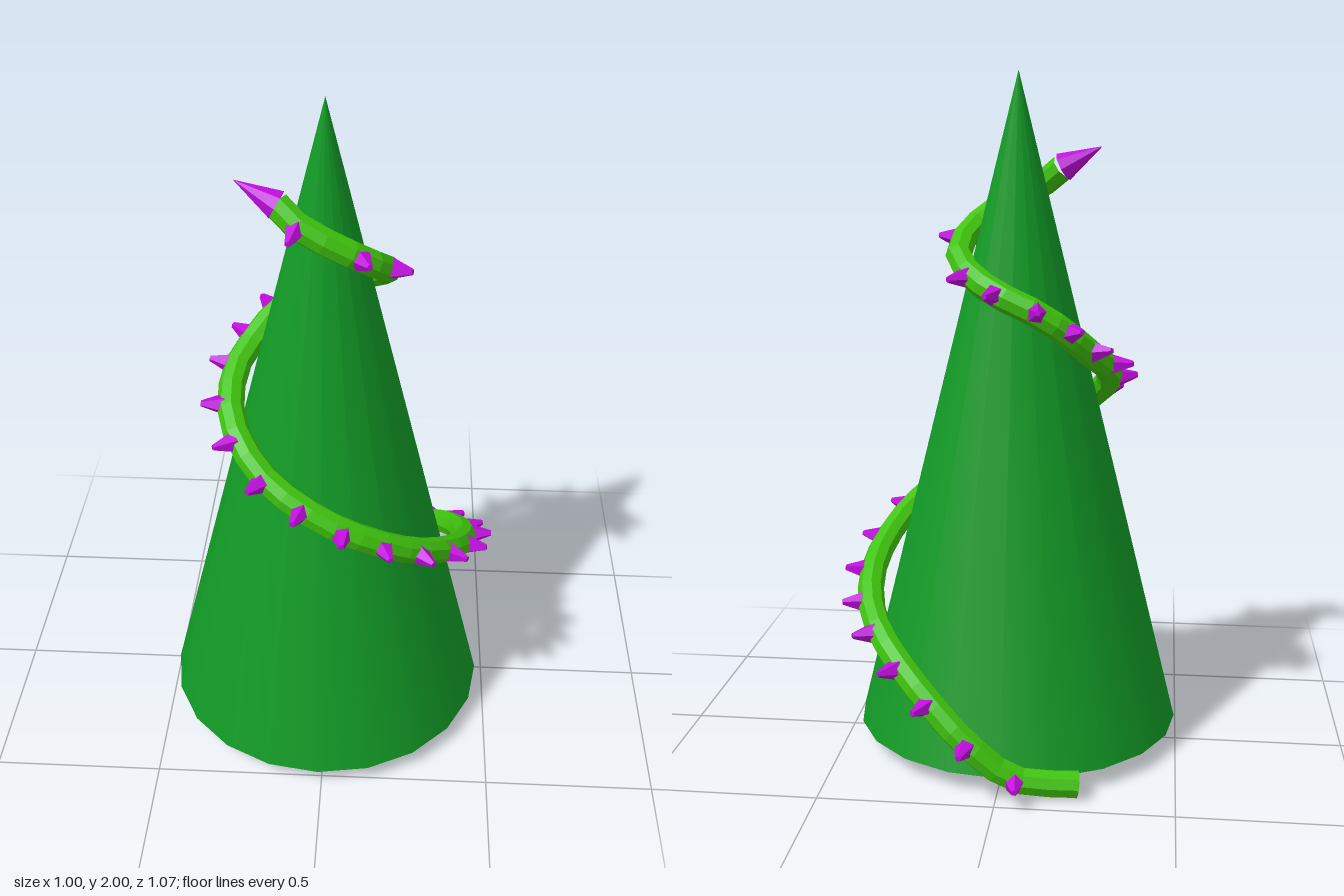
import * as THREE from 'three';

const UP = new THREE.Vector3(0, 1, 0);
const material = (name, color, flatShading = false) => {
  const m = new THREE.MeshStandardMaterial({ color, flatShading });
  m.name = name;
  return m;
};

function addMesh(parent, name, geometry, mat) {
  const mesh = new THREE.Mesh(geometry, mat);
  mesh.name = name;
  parent.add(mesh);
  return mesh;
}

// Points a y-axis part along dir
function aim(mesh, position, dir) {
  mesh.position.copy(position);
  mesh.quaternion.setFromUnitVectors(UP, dir.clone().normalize());
}

// Vine centre line; each of these points carries a thorn
const THORN_POINTS = [
  [-0.05, 0.06, -0.44], [0.08, 0.16, -0.45], [0.19, 0.26, -0.41], [0.28, 0.34, -0.35], [0.36, 0.41, -0.26],
  [0.405, 0.465, -0.16], [0.42, 0.525, -0.05], [0.4, 0.59, 0.08], [0.345, 0.66, 0.2], [0.26, 0.725, 0.29],
  [0.16, 0.79, 0.345], [0.05, 0.85, 0.365], [-0.06, 0.91, 0.35], [-0.165, 0.97, 0.3], [-0.245, 1.045, 0.22],
  [-0.28, 1.1, 0.12], [-0.27, 1.16, 0], [-0.225, 1.21, -0.075], [-0.165, 1.27, -0.125], [-0.08, 1.33, -0.155],
  [0.03, 1.38, -0.14], [0.11, 1.425, -0.085], [0.15, 1.52, 0.06], [0.08, 1.59, 0.14], [-0.08, 1.68, 0.145],
].map((p) => new THREE.Vector3(...p));

export function createModel() {
  const model = new THREE.Group();
  model.name = 'thornyVineCone';
  const coneGreen = material('cone green', 0x129a26);
  const vineGreen = material('vine green', 0x40c40e, true);
  const thornPurple = material('thorn purple', 0xc00cdc, true);

  // Tall cone body
  const cone = addMesh(model, 'cone', new THREE.ConeGeometry(0.485, 1.945, 20), coneGreen);
  cone.position.set(-0.01, 0.055 + 1.945 / 2, 0.05);

  // Spiral vine
  const vine = new THREE.Group();
  vine.name = 'vine';
  model.add(vine);
  const start = new THREE.Vector3(-0.225, 0.04, -0.415);
  const end = new THREE.Vector3(-0.135, 1.725, 0.115);
  const points = [start, ...THORN_POINTS, end];
  points.splice(23, 0, new THREE.Vector3(0.155, 1.47, -0.02));
  const path = new THREE.CatmullRomCurve3(points);
  const radius = 0.039;
  addMesh(vine, 'vineStem', new THREE.TubeGeometry(path, 44, radius, 8), vineGreen);

  // Cap on the lower end
  const cap = addMesh(vine, 'vineEndCap', new THREE.CylinderGeometry(radius, radius, 0.004, 8), vineGreen);
  aim(cap, start, path.getTangentAt(0));

  // Pointed tip on the upper end
  const tipEnd = new THREE.Vector3(-0.25, 1.785, 0.095);
  const tipDir = tipEnd.clone().sub(end);
  const tip = addMesh(vine, 'vineTip', new THREE.ConeGeometry(0.043, tipDir.length(), 8), thornPurple);
  aim(tip, end.clone().lerp(tipEnd, 0.5), tipDir);

  // Blunt thorns facing outward, square to the stem
  const thornGeometry = new THREE.CylinderGeometry(0.009, 0.032, 0.065, 5);
  THORN_POINTS.forEach((p) => {
    const next = points[points.indexOf(p) + 1];
    const previous = points[points.indexOf(p) - 1];
    const along = next.clone().sub(previous).normalize();
    const out = new THREE.Vector3(p.x + 0.01, 0, p.z - 0.01);
    out.addScaledVector(along, -out.dot(along)).normalize();
    const thorn = addMesh(vine, 'thorn', thornGeometry, thornPurple);
    aim(thorn, p.clone().addScaledVector(out, 0.052), out);
  });

  return model;
}
